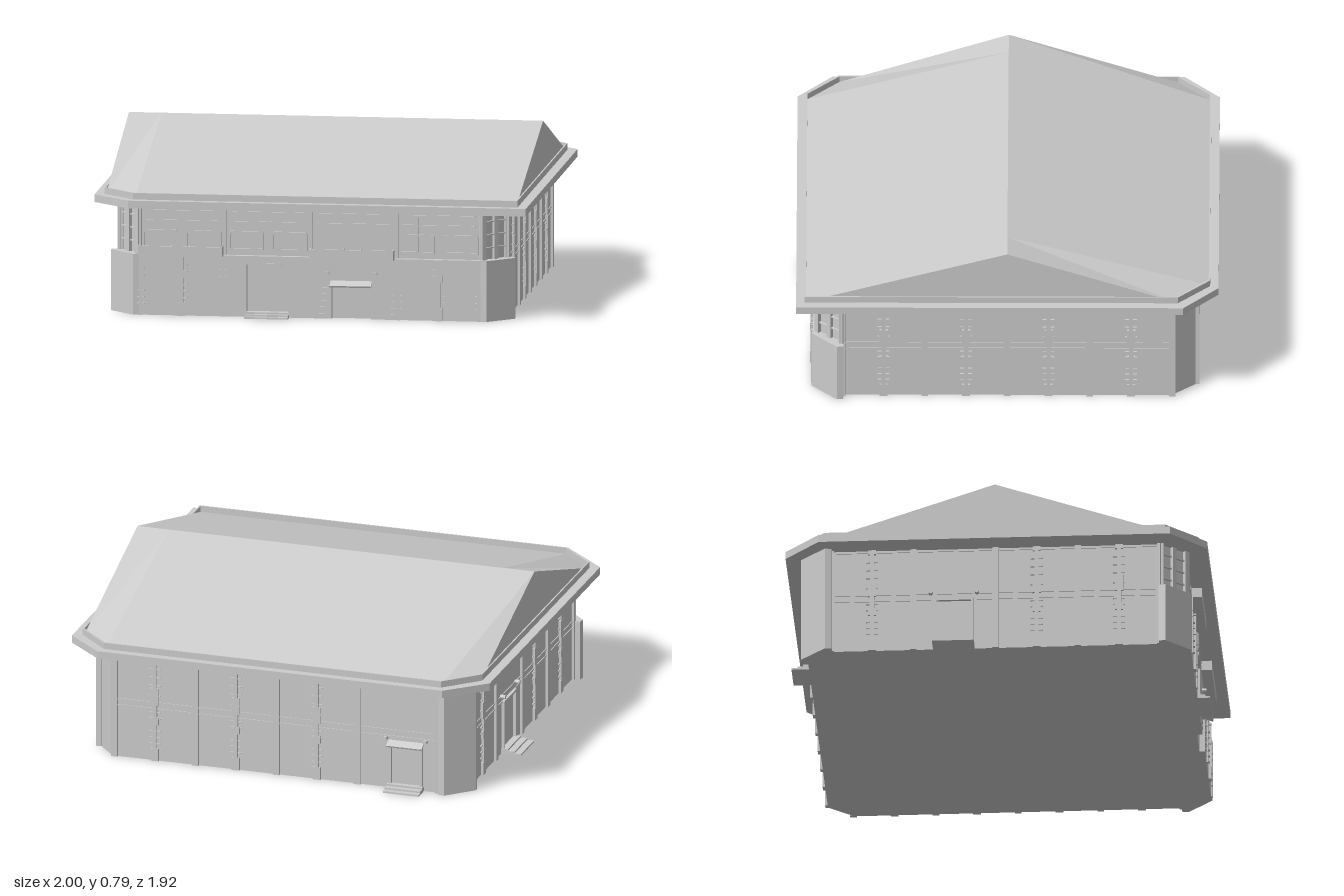
import * as THREE from 'three';

const grey = new THREE.MeshStandardMaterial({ color: 0xcccccc, flatShading: true, side: THREE.DoubleSide });

function add(parent, name, geometry) {
  const m = new THREE.Mesh(geometry, grey);
  m.name = name;
  parent.add(m);
  return m;
}

// box given by its centre in x and z and its bottom in y
function box(parent, name, w, h, d, x, y, z) {
  const m = add(parent, name, new THREE.BoxGeometry(w, h, d));
  m.position.set(x, y + h / 2, z);
  return m;
}

// upright prism from a plan outline of [x, z] points, optional hole
function prism(parent, name, plan, y0, y1, hole) {
  const pts = p => p.map(([x, z]) => new THREE.Vector2(x, -z));
  const shape = new THREE.Shape(pts(plan));
  if (hole) shape.holes.push(new THREE.Path(pts(hole)));
  const g = new THREE.ExtrudeGeometry(shape, { depth: y1 - y0, bevelEnabled: false });
  g.rotateX(-Math.PI / 2);
  g.translate(0, y0, 0);
  return add(parent, name, g);
}

// rectangle with chamfered corners; the roof keeps its front +x corner square
function plan(hx, hz, cx, cz, square) {
  const front = square ? [[hx, hz]] : [[hx, hz - cz], [hx - cx, hz]];
  return [...front, [-hx + cx, hz], [-hx, hz - cz], [-hx, -hz + cz],
    [-hx + cx, -hz], [hx - cx, -hz], [hx, -hz + cz]];
}

// slender column with stepped blocks and little rungs
function ornateColumn(parent, x, z, top) {
  const g = new THREE.Group();
  g.name = 'ornateColumn';
  g.position.set(x, 0, z);
  parent.add(g);
  const blocks = [[0.036, 0, 0.06], [0.018, 0.06, 0.18], [0.036, 0.175, 0.21], [0.02, 0.21, 0.28],
    [0.038, 0.27, 0.35], [0.018, 0.35, 0.48], [0.036, 0.48, 0.5]];
  for (const [w, a, b] of blocks) {
    if (a < top) box(g, 'columnBlock', w, Math.min(b, top) - a, 0.014, 0, a, 0.005);
  }
  for (const y of [0.08, 0.11, 0.14, 0.2, 0.23, 0.31, 0.36, 0.4, 0.44]) {
    if (y < top - 0.02) box(g, 'columnRung', 0.055, 0.005, 0.008, 0, y, 0.003);
  }
}

// door with frame, awning, lamps and steps on a wall plane z
function doorway(parent, x, z, w, h, out) {
  for (const s of [-1, 1]) {
    box(parent, 'doorFrame', 0.012, h, 0.02, x + s * w / 2, 0, z + 0.004);
    const lamp = add(parent, 'lamp', new THREE.CylinderGeometry(0.01, 0.01, 0.025, 8));
    lamp.rotation.x = Math.PI / 2;
    lamp.position.set(x + s * (w / 2 + 0.02), h + 0.04, z + 0.012);
  }
  box(parent, 'doorLintel', w + 0.012, 0.012, 0.02, x, h, z + 0.004);
  for (let i = 0; i < 3; i++) {
    box(parent, 'step', w + 0.02, 0.008, out * (1 - i / 3), x, i * 0.008, z + out * (1 - i / 3) / 2);
  }
}

// plain side wall: pilasters, columns and rails in a frame facing +z
function sideWall(root, name, turn, dist, half, doorX) {
  const g = new THREE.Group();
  g.name = name;
  g.rotation.y = turn;
  root.add(g);
  for (let i = -2; i <= 2; i++) box(g, 'pilaster', 0.03, 0.5, 0.024, i * half / 2, 0, dist);
  for (let i = -1.5; i <= 1.5; i++) {
    const x = i * half / 2;
    if (Math.abs(x - doorX) > 0.12) ornateColumn(g, x, dist, 0.5);
    box(g, 'topRail', half / 2 - 0.03, 0.01, 0.008, x, 0.488, dist);
    box(g, 'middleRail', half / 2 - 0.03, 0.007, 0.008, x, 0.245, dist);
    box(g, 'middleRail', half / 2 - 0.03, 0.007, 0.008, x, 0.275, dist);
  }
  return g;
}

function frontWall(root) {
  const g = new THREE.Group();
  g.name = 'frontWall';
  root.add(g);
  // lower wall with two door openings
  const s = new THREE.Shape([[-0.79, 0], [-0.29, 0], [-0.29, 0.24], [-0.1, 0.24], [-0.1, 0], [0.1, 0],
    [0.1, 0.16], [0.28, 0.16], [0.28, 0], [0.79, 0], [0.79, 0.28], [-0.79, 0.28]].map(p => new THREE.Vector2(...p)));
  const lower = new THREE.ExtrudeGeometry(s, { depth: 0.025, bevelEnabled: false });
  lower.translate(0, 0, 0.86);
  add(g, 'lowerWall', lower);
  box(g, 'entranceLintel', 0.13, 0.012, 0.02, -0.195, 0.235, 0.88);
  for (let i = 0; i < 3; i++) box(g, 'entranceStep', 0.2, 0.008, 0.085 - i * 0.022, -0.195, i * 0.008, 0.9 - i * 0.011);
  const awning = box(g, 'doorAwning', 0.19, 0.008, 0.05, 0.19, 0.16, 0.9);
  awning.rotation.x = 0.45;
  for (const x of [0.08, 0.3]) {
    const lamp = add(g, 'lamp', new THREE.CylinderGeometry(0.011, 0.011, 0.025, 8));
    lamp.rotation.x = Math.PI / 2;
    lamp.position.set(x, 0.21, 0.892);
  }
  for (const x of [0.05, 0.34]) {
    for (let i = 0; i < 5; i++) box(g, 'wallBand', 0.09, 0.004, 0.004, x, 0.02 + i * 0.03, 0.886);
  }
  for (const x of [-0.59, 0.59]) ornateColumn(g, x, 0.885, 0.28);
  for (const x of [-0.775, -0.4, 0.405, 0.775]) {
    box(g, 'lowerPilaster', 0.016, 0.28, 0.012, x, 0, 0.886);
    for (const y of [0.05, 0.08, 0.11, 0.18, 0.21]) box(g, 'pilasterRung', 0.035, 0.005, 0.008, x, y, 0.887);
  }
  // upper window bays
  for (const x of [-0.785, -0.395, 0, 0.395, 0.785]) box(g, 'upperPilaster', 0.016, 0.22, 0.02, x, 0.28, 0.862);
  for (const c of [-0.59, -0.195, 0.195, 0.59]) {
    for (const y of [0.43, 0.475]) box(g, 'windowRail', 0.33, 0.006, 0.012, c, y, 0.862);
    if (c === 0.195) continue;
    box(g, 'windowMullion', 0.008, 0.16, 0.012, c + (c < -0.5 ? 0.1 : c > 0.5 ? -0.1 : 0), 0.31, 0.862);
    for (const sx of [-1, 1]) {
      const r = (w, h) => [[-w, -h], [w, -h], [w, h * 0.8], [w * 0.92, h], [-w * 0.92, h], [-w, h * 0.8]]
        .map(p => new THREE.Vector2(...p));
      const frame = new THREE.Shape(r(0.08, 0.043));
      frame.holes.push(new THREE.Path(r(0.073, 0.036)));
      const w = add(g, 'windowFrame', new THREE.ExtrudeGeometry(frame, { depth: 0.012, bevelEnabled: false }));
      w.position.set(c + sx * 0.1, 0.348, 0.858);
    }
  }
  // open-topped balcony boxes
  for (const c of [-0.59, 0.195]) {
    box(g, 'balconyFloor', 0.38, 0.008, 0.05, c, 0.278, 0.908);
    box(g, 'balconyPanel', 0.38, 0.046, 0.008, c, 0.278, 0.929);
    for (const k of [-0.19, -0.04, 0.04, 0.19]) box(g, 'balconyRib', 0.006, 0.046, 0.046, c + k, 0.278, 0.908);
  }
}

// gabled roof with clipped corners
function roofGeometry() {
  const t = 0.79, e = 0.536;
  const A = [-0.95, t, 0], A2 = [-0.8, t, 0], B2 = [0.8, t, 0], B = [0.95, t, 0];
  const b1 = [-0.95, e, -0.77], b2 = [-0.8, e, -0.915], b3 = [0.8, e, -0.915], b4 = [0.95, e, -0.77];
  const f1 = [-0.95, e, 0.77], f2 = [-0.8, e, 0.915], f3 = [0.95, e, 0.915];
  const tris = [
    A2, f2, f3, A2, f3, B, A2, f1, f2, A2, A, f1,
    A2, B2, b3, A2, b3, b2, B2, B, b4, B2, b4, b3, A, A2, b2, A, b2, b1,
    B, f3, b4, A, b1, f1];
  const g = new THREE.BufferGeometry();
  g.setAttribute('position', new THREE.Float32BufferAttribute(tris.flat(), 3));
  g.computeVertexNormals();
  return g;
}

export function createModel() {
  const root = new THREE.Group();
  root.name = 'hall';

  prism(root, 'walls', plan(0.885, 0.86, 0.1, 0.115), 0, 0.5);
  prism(root, 'fascia', plan(1, 0.96, 0.175, 0.16, true), 0.5, 0.535);
  prism(root, 'parapet', plan(0.957, 0.922, 0.15, 0.147, true), 0.535, 0.565, plan(0.95, 0.915, 0.15, 0.145, true));
  add(root, 'roof', roofGeometry());

  frontWall(root);
  sideWall(root, 'leftWall', Math.PI / 2, 0.885, 0.75, 9);
  const back = sideWall(root, 'backWall', Math.PI, 0.86, 0.775, 0.6);
  doorway(back, 0.62, 0.86, 0.15, 0.2, 0.08);
  const awning = box(back, 'backDoorAwning', 0.17, 0.008, 0.045, 0.62, 0.215, 0.875);
  awning.rotation.x = 0.45;
  const right = sideWall(root, 'rightWall', -Math.PI / 2, 0.885, 0.75, -0.19);
  doorway(right, -0.19, 0.885, 0.17, 0.24, 0.095);

  // thickened corners
  const corner = [[0.78, 0.84], [0.78, 0.885], [0.81, 0.89], [0.927, 0.775], [0.922, 0.745], [0.86, 0.745]];
  for (const [sx, sz, top] of [[1, 1, 0.28], [-1, 1, 0.28], [-1, -1, 0.5]]) {
    const p = corner.map(([x, z]) => [x * sx, z * sz]);
    prism(root, 'cornerBase', p, 0, top);
  }
  // posts in front of the upper corner glazing
  for (const s of [-1, 1]) {
    for (const k of [0, 0.5, 1]) {
      const post = box(root, 'cornerPost', 0.024, 0.5, 0.024, s * (0.79 + 0.095 * k), 0, 0.86 - 0.11 * k);
      post.rotation.y = s * Math.PI / 4;
    }
    for (const y of [0.33, 0.39, 0.45]) {
      const rail = box(root, 'cornerRail', 0.14, 0.006, 0.014, s * 0.838, y, 0.805);
      rail.rotation.y = s * 0.857;
    }
  }
  return root;
}
